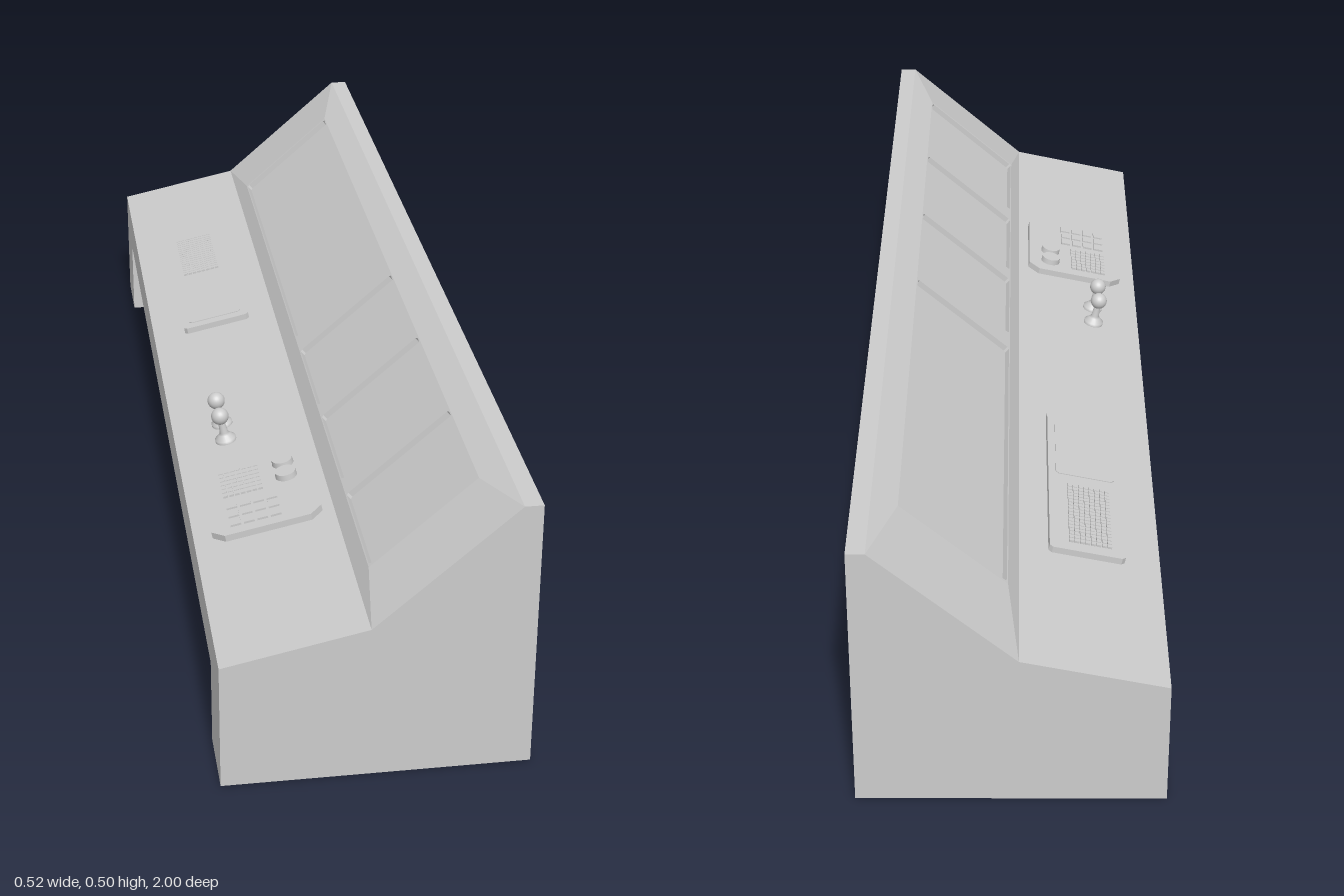
import * as THREE from 'three';
import { mergeGeometries } from 'three/addons/utils/BufferGeometryUtils.js';

const mat = new THREE.MeshStandardMaterial({ color: 0xcccccc });
const openMat = new THREE.MeshStandardMaterial({ color: 0xcccccc, side: THREE.DoubleSide });

function add(parent, name, geo, material = mat) {
  const m = new THREE.Mesh(geo, material);
  m.name = name;
  parent.add(m);
  return m;
}

// flat quads, each given as four corners in counter-clockwise order
function quads(list) {
  const pos = [];
  for (const [a, b, c, d] of list) pos.push(...a, ...b, ...c, ...a, ...c, ...d);
  const g = new THREE.BufferGeometry();
  g.setAttribute('position', new THREE.Float32BufferAttribute(pos, 3));
  g.computeVertexNormals();
  return g;
}

// counter-clockwise rectangle outline with cut corners, lying in x and z
function outline(x0, x1, z0, z1, c, Type = THREE.Shape) {
  const p = [[x0, z0 + c], [x0, z1 - c], [x0 + c, z1], [x1 - c, z1], [x1, z1 - c], [x1, z0 + c], [x1 - c, z0], [x0 + c, z0]];
  return new Type(p.map(([x, z]) => new THREE.Vector2(x, -z)));
}

// outline raised from height y by h
function plate(shape, y, h) {
  return new THREE.ExtrudeGeometry(shape, { depth: h, bevelEnabled: false }).rotateX(-Math.PI / 2).translate(0, y, 0);
}

// grid of small box keys
function keys(x0, x1, nx, z0, z1, nz, y, h) {
  const dx = (x1 - x0) / nx, dz = (z1 - z0) / nz, parts = [];
  for (let i = 0; i < nx; i++)
    for (let j = 0; j < nz; j++)
      parts.push(new THREE.BoxGeometry(dx * 0.8, h, dz * 0.8)
        .translate(x0 + (i + 0.5) * dx, y + h / 2, z0 + (j + 0.5) * dz));
  return mergeGeometries(parts);
}

// group whose local x runs along a sloped surface and y along its normal
function slopeGroup(name, a, b) {
  const g = new THREE.Group();
  g.name = name;
  g.position.set(a[0], a[1], 0);
  g.rotation.z = Math.atan2(b[1] - a[1], b[0] - a[0]);
  return g;
}

export function createModel() {
  const root = new THREE.Group();
  root.name = 'controlConsole';

  const F = -0.262, B = 0.262, K = -0.013, kneeY = 0.158, kneeZ = 0.87;
  const lip = [F, 0.232], fold = [K, 0.285], crest = [0.23, 0.495], topBack = [B, 0.495];

  // long skins of the cabinet
  const strip = (name, a, b, z0 = -1, z1 = 1) =>
    add(root, name, quads([[[...a, z0], [...a, z1], [...b, z1], [...b, z0]]]), openMat);
  strip('frontLip', [F, kneeY], lip);
  strip('deskTop', lip, fold);
  strip('screenBacking', fold, crest);
  strip('topLedge', crest, topBack);
  strip('backWall', topBack, [B, 0]);
  strip('bottom', [B, 0], [K, 0]);
  strip('kneeWall', [K, 0], [K, kneeY], -kneeZ, kneeZ);
  strip('kneeCeiling', [K, kneeY], [F, kneeY], -kneeZ, kneeZ);

  // end walls and open-bottomed legs
  for (const s of [1, -1]) {
    const turn = s > 0 ? 0 : Math.PI;
    const profile = [[F, 0], [B, 0], topBack, crest, fold, lip].map(([x, y]) => new THREE.Vector2(x * s, y));
    add(root, 'endWall', new THREE.ShapeGeometry(new THREE.Shape(profile)).translate(0, 0, 1).rotateY(turn), openMat);
    strip('legFront', [F, 0], [F, kneeY], s > 0 ? kneeZ : -1, s > 0 ? 1 : -kneeZ);
    add(root, 'legInnerWall', new THREE.PlaneGeometry(K - F, kneeY)
      .rotateY(turn + Math.PI).translate((F + K) / 2, kneeY / 2, s * kneeZ), openMat);
  }

  // raised screen panel with recessed screens and ramps out to the edges
  const panel = slopeGroup('screenPanel', fold, crest);
  root.add(panel);
  const L = Math.hypot(crest[0] - fold[0], crest[1] - fold[1]);
  const s0 = 0.034, s1 = 0.2735, zA = -0.825, zB = 0.86, rise = 0.0112;
  const face = outline(s0, s1, zA, zB, 0.0005);
  for (const [z0, z1] of [[-0.819, -0.016], [0.046, 0.28], [0.325, 0.565], [0.618, 0.854]])
    face.holes.push(outline(0.0365, 0.271, z0, z1, 0.004, THREE.Path));
  add(panel, 'screenFrame', plate(face, 0, rise));
  const outer = [[0, 0, 1], [L, 0, 1], [L, 0, -1], [0, 0, -1]];
  const inner = [[s0, rise, zB], [s1, rise, zB], [s1, rise, zA], [s0, rise, zA]];
  add(panel, 'frameRamps', quads(outer.map((o, i) => {
    const j = (i + 1) % 4;
    return [o, outer[j], inner[j], inner[i]];
  })));

  // controls on the sloped desk
  const desk = slopeGroup('deskControls', lip, fold);
  root.add(desk);

  // keyboard with touch pad
  add(desk, 'keyboardBase', plate(outline(0.065, 0.202, -0.668, -0.205, 0.006), 0, 0.012));
  add(desk, 'keyboardKeys', keys(0.089, 0.168, 8, -0.645, -0.458, 18, 0.012, 0.004));
  add(desk, 'touchPad', plate(outline(0.078, 0.188, -0.425, -0.225, 0.006), 0.012, 0.0015));

  // eight-sided keypad panel
  add(desk, 'keypadBase', plate(outline(0.034, 0.234, 0.387, 0.628, 0.022), 0, 0.0125));
  add(desk, 'smallKeys', keys(0.067, 0.143, 7, 0.41, 0.505, 7, 0.0125, 0.004));
  add(desk, 'largeKeys', keys(0.067, 0.165, 4, 0.52, 0.608, 3, 0.0125, 0.004));
  for (const z of [0.432, 0.478])
    add(desk, 'roundButton', new THREE.CylinderGeometry(0.019, 0.02, 0.011, 24).translate(0.188, 0.018, z));

  // two joysticks: flared foot, stem and ball
  const stick = [[0.02, 0], [0.02, 0.006], [0.011, 0.014], [0.008, 0.018], [0.006, 0.045]];
  for (const z of [0.209, 0.273]) {
    const joy = new THREE.Group();
    joy.name = 'joystick';
    joy.position.set(0.0965, 0, z);
    add(joy, 'stem', new THREE.LatheGeometry(stick.map(([r, y]) => new THREE.Vector2(r, y)), 20));
    add(joy, 'ball', new THREE.SphereGeometry(0.0165, 24, 16).translate(0, 0.053, 0));
    desk.add(joy);
  }
  return root;
}
